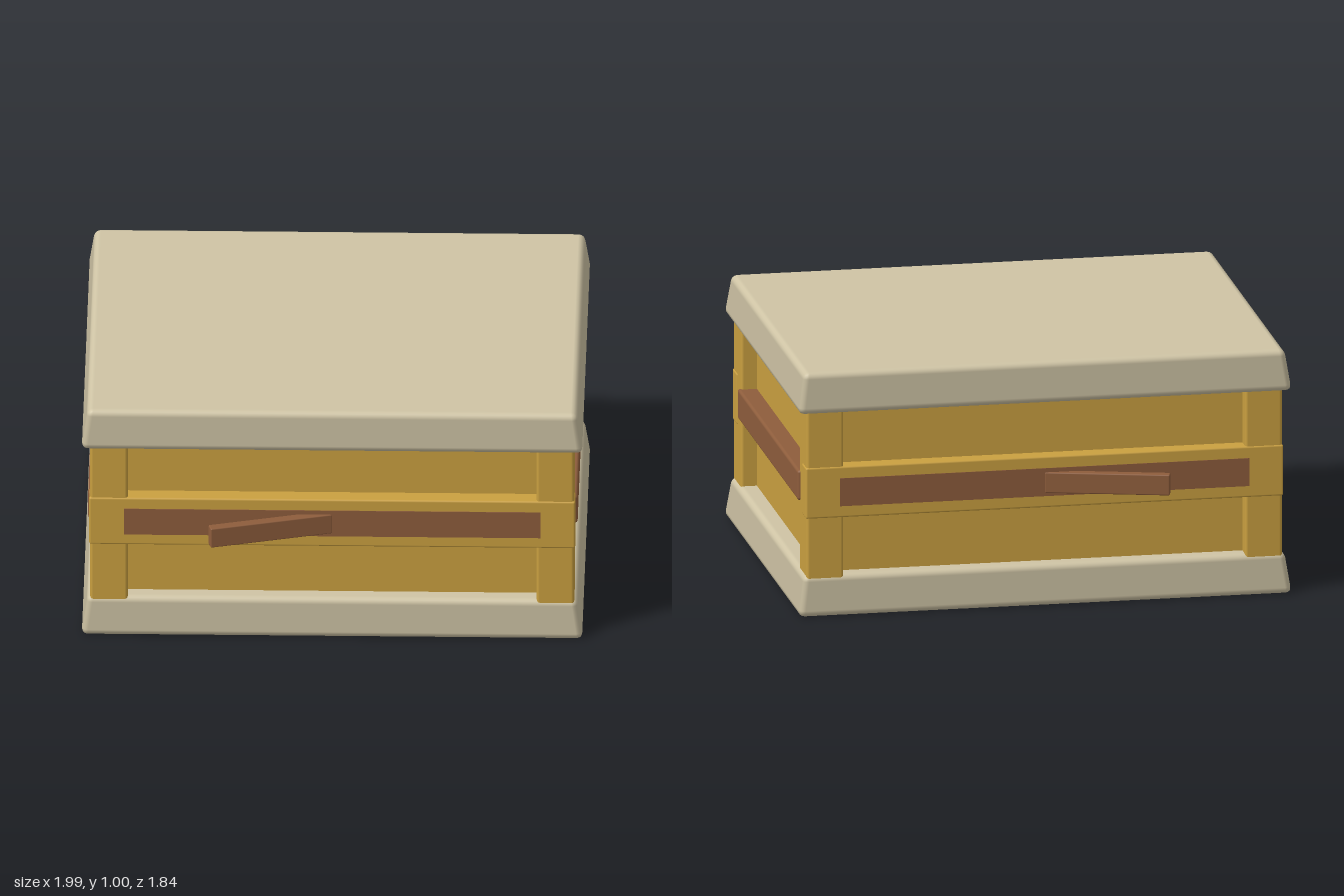
import * as THREE from 'three';
import { RoundedBoxGeometry } from 'three/addons/geometries/RoundedBoxGeometry.js';

const mat = (name, color) => {
  const m = new THREE.MeshStandardMaterial({ color });
  m.name = name;
  return m;
};

export function createModel() {
  const cream = mat('cream', 0xcfc4a5);
  const gold = mat('golden wood', 0xcaa040);
  const brown = mat('brown leather', 0x8e5d3c);
  const model = new THREE.Group();
  model.name = 'crate';

  const add = (name, geometry, material, x, y, z) => {
    const mesh = new THREE.Mesh(geometry, material);
    mesh.name = name;
    mesh.position.set(x, y, z);
    model.add(mesh);
    return mesh;
  };
  const box = (w, h, d, r = 0) =>
    r ? new RoundedBoxGeometry(w, h, d, 2, r) : new THREE.BoxGeometry(w, h, d);

  // Rounded slab that narrows slightly towards its top
  const slab = () => {
    const h = 0.165;
    const g = box(2, h, 1.61, 0.025);
    const p = g.attributes.position;
    for (let i = 0; i < p.count; i++) {
      const inset = 0.025 * (p.getY(i) / h + 0.5);
      p.setX(i, p.getX(i) * (1 - inset));
      p.setZ(i, p.getZ(i) * (1 - inset / 0.805));
    }
    return g;
  };
  add('base', slab(), cream, 0, 0.0825, 0);
  add('lid', slab(), cream, 0, 0.9175, 0);

  // Recessed panels form one inner body
  add('panels', box(1.8, 0.72, 1.43), gold, 0, 0.5, 0);

  for (const s of [1, -1]) {
    // Corner posts
    for (const t of [1, -1]) {
      add('cornerPost', box(0.15, 0.74, 0.16, 0.012), gold, s * 0.889, 0.5, t * 0.698);
    }
    // Rail, strap and angled latch on the front and back
    add('rail', box(1.936, 0.21, 0.09, 0.008), gold, 0, 0.505, s * 0.737);
    add('railStrap', box(1.66, 0.115, 0.008), brown, 0, 0.505, s * 0.781);
    const latch = add('latch', box(0.5, 0.085, 0.04, 0.005), brown, -0.245, 0.503, s * 0.833);
    latch.rotation.y = s * THREE.MathUtils.degToRad(15.5);
    // Thick strap on each side
    add('sideStrap', box(0.09, 0.125, 1.285, 0.012), brown, s * 0.93, 0.502, 0);
  }
  return model;
}
